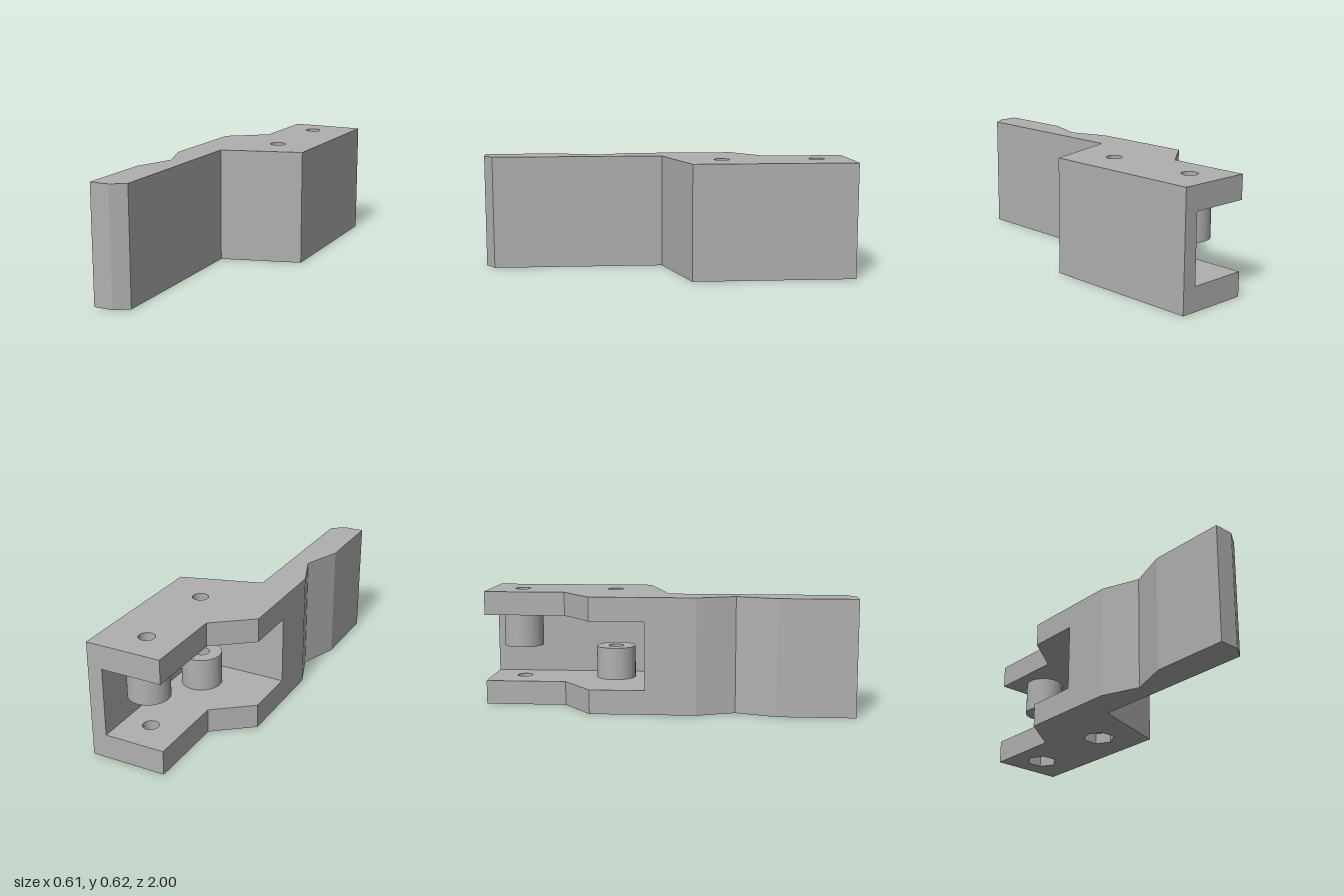
import * as THREE from 'three';

const grey = new THREE.MeshStandardMaterial({ color: 0xb0b0b0 });
grey.name = 'grey';

const HEIGHT = 0.623, FLOOR = 0.13, CEILING = 0.495, BOSS_MID = 0.306, NUT_DEPTH = 0.06;
const HOLE_R = 0.042, BOSS_R = 0.108, NUT_R = 0.088;
const BOLT_X = 0.08, BOLT_Z = [-0.3, -0.82];

// Plan points are [x, z]
const armSide = [
  [0.305, -1], [0.305, -0.12], [-0.125, 0.01], [-0.125, 0.95], [-0.2, 1],
  [-0.305, 1], [-0.305, 0.585], [-0.23, 0.37], [-0.305, 0.165],
];
const fullPlan = [...armSide, [-0.305, -0.4], [-0.1, -0.56], [-0.1, -1]];
const pocketPlan = [...armSide, [-0.305, -0.107], [0.1, -0.107], [0.225, -0.14], [0.225, -1]];

const planShape = (pts) => new THREE.Shape(pts.map(([x, z]) => new THREE.Vector2(x, -z)));

function polygonPath(z, radius, sides) {
  const pts = [];
  for (let i = 0; i < sides; i++) {
    const a = (i / sides) * Math.PI * 2;
    pts.push(new THREE.Vector2(BOLT_X + radius * Math.cos(a), -z + radius * Math.sin(a)));
  }
  return new THREE.Path(pts);
}

function circlePath(z, radius, Type = THREE.Path) {
  const p = new Type();
  p.absarc(BOLT_X, -z, radius, 0, Math.PI * 2, false);
  return p;
}

// Extrude a plan shape upward between two heights
function slab(name, shape, y0, y1, holes = []) {
  shape.holes.push(...holes);
  const geo = new THREE.ExtrudeGeometry(shape, { depth: y1 - y0, bevelEnabled: false, curveSegments: 24 });
  geo.rotateX(-Math.PI / 2);
  geo.translate(0, y0, 0);
  const mesh = new THREE.Mesh(geo, grey);
  mesh.name = name;
  return mesh;
}

export function createModel() {
  const model = new THREE.Group();
  model.name = 'bracket';
  const boltHoles = () => BOLT_Z.map((z) => circlePath(z, HOLE_R));

  // Body in layers: hex nut recesses, floor, pocket walls, top plate
  model.add(
    slab('nutRecessLayer', planShape(fullPlan), 0, NUT_DEPTH, BOLT_Z.map((z) => polygonPath(z, NUT_R, 6))),
    slab('pocketFloor', planShape(fullPlan), NUT_DEPTH, FLOOR, boltHoles()),
    slab('pocketWalls', planShape(pocketPlan), FLOOR, CEILING),
    slab('topPlate', planShape(fullPlan), CEILING, HEIGHT, boltHoles()),
  );

  // One boss stands on the floor, the other hangs from the top plate
  const boss = (name, z, y0, y1) =>
    slab(name, circlePath(z, BOSS_R, THREE.Shape), y0, y1, [circlePath(z, HOLE_R)]);
  model.add(
    boss('standingBoss', BOLT_Z[0], FLOOR, BOSS_MID),
    boss('hangingBoss', BOLT_Z[1], BOSS_MID, CEILING),
  );
  return model;
}
